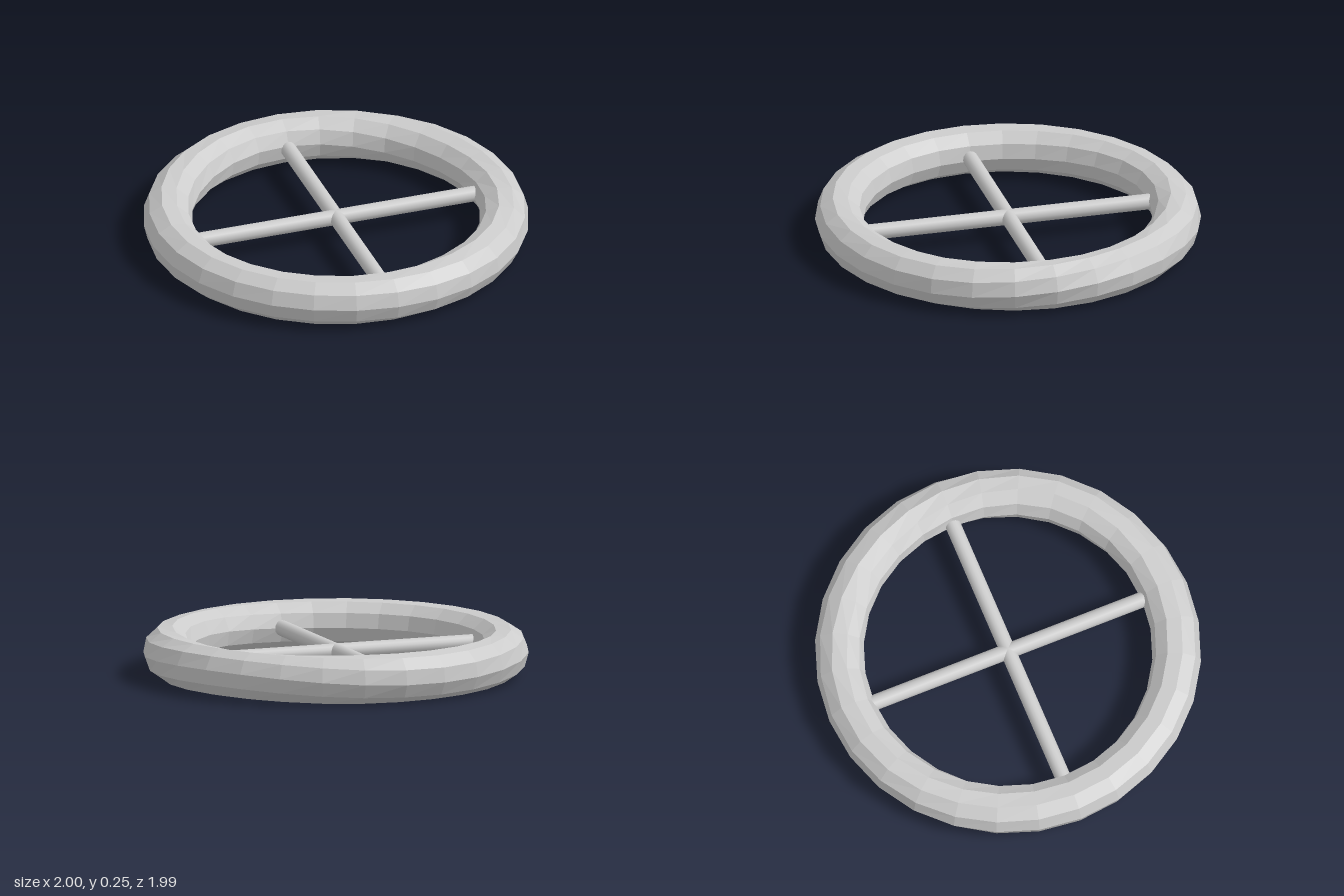
import * as THREE from 'three';

const RING_RADIUS = 0.872, TUBE = 0.126, MID_Y = 0.128;
const SEGMENTS = 28, SIDES = 10;

// Round tube bent into a ring, its faceted section twisting gently along the way
function ringGeometry() {
  const geo = new THREE.TorusGeometry(RING_RADIUS, TUBE, SIDES, SEGMENTS);
  const pos = geo.attributes.position;
  for (let j = 0; j <= SIDES; j++) {
    for (let i = 0; i <= SEGMENTS; i++) {
      const u = (i % SEGMENTS) / SEGMENTS * Math.PI * 2;
      const twist = 0.14 * Math.sin(2 * u + 0.6) + 0.08 * Math.sin(3 * u);
      const v = (j % SIDES) / SIDES * Math.PI * 2 + twist;
      const r = RING_RADIUS + TUBE * Math.cos(v);
      pos.setXYZ(j * (SEGMENTS + 1) + i, r * Math.cos(u), r * Math.sin(u), TUBE * Math.sin(v));
    }
  }
  geo.rotateX(-Math.PI / 2);
  geo.computeVertexNormals();
  return geo;
}

export function createModel() {
  const group = new THREE.Group();
  group.name = 'spokedRing';

  const ring = new THREE.Mesh(
    ringGeometry(),
    new THREE.MeshStandardMaterial({ color: 0xcccccc, flatShading: true })
  );
  ring.name = 'ring';
  ring.position.y = MID_Y;
  group.add(ring);

  // Two crossing rods form the four spokes, their ends buried in the ring
  const rodMaterial = new THREE.MeshStandardMaterial({ color: 0xcccccc });
  const rodGeometry = new THREE.CylinderGeometry(0.041, 0.041, 1.6, 16).rotateZ(Math.PI / 2);
  ['crossSpoke', 'lengthSpoke'].forEach((name, i) => {
    const rod = new THREE.Mesh(rodGeometry, rodMaterial);
    rod.name = name;
    rod.position.y = MID_Y;
    rod.rotation.y = i * Math.PI / 2;
    group.add(rod);
  });

  return group;
}
